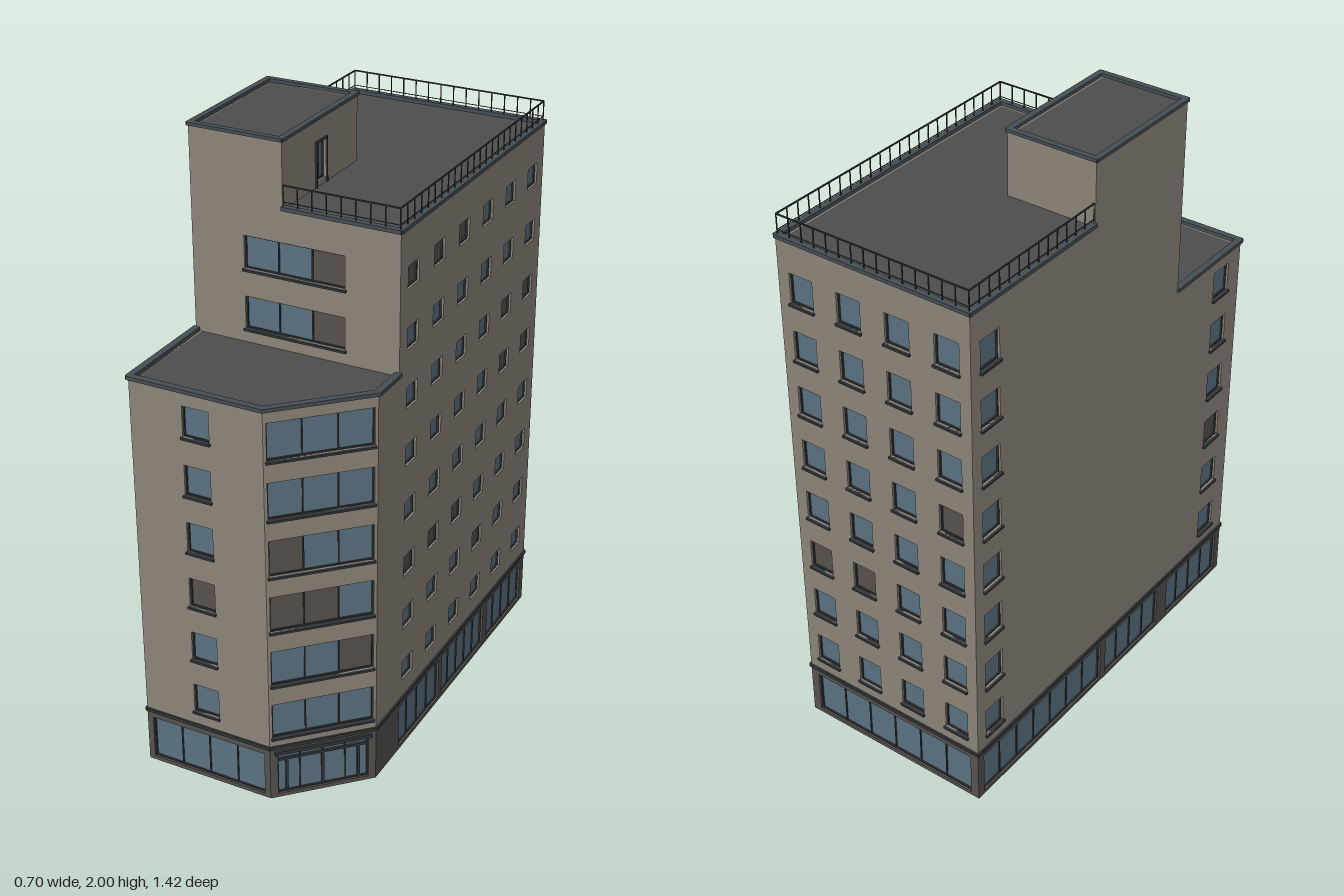
import * as THREE from 'three';

const mat = (name, color, side = THREE.FrontSide) => {
  const m = new THREE.MeshStandardMaterial({ color, side });
  m.name = name;
  return m;
};
const M = {
  wall: mat('beige render', 0x8c8479),
  base: mat('dark stone', 0x55524f),
  roof: mat('roof felt', 0x4d4d4d),
  frame: mat('dark frame', 0x33363a),
  glass: mat('blue glass', 0x5a7180, THREE.DoubleSide),
  blind: mat('closed blind', 0x57514b, THREE.DoubleSide),
  coping: mat('metal coping', 0x454e54),
};
const T = 0.02; // wall thickness
const ROW = i => 0.292 + i * 0.1918; // window centre height of floor i

function box(parent, name, material, x0, x1, y0, y1, z0, z1) {
  const m = new THREE.Mesh(new THREE.BoxGeometry(x1 - x0, y1 - y0, z1 - z0), material);
  m.position.set((x0 + x1) / 2, (y0 + y1) / 2, (z0 + z1) / 2);
  m.name = name;
  parent.add(m);
  return m;
}

function rect(Type, x0, x1, y0, y1) {
  const s = new Type();
  s.moveTo(x0, y0).lineTo(x1, y0).lineTo(x1, y1).lineTo(x0, y1).closePath();
  return s;
}

// Group whose local x runs from a to b and whose local z points outwards
function edge(parent, name, a, b) {
  const g = new THREE.Group();
  g.name = name;
  g.position.set(a[0], 0, a[1]);
  g.rotation.y = Math.atan2(a[1] - b[1], b[0] - a[0]);
  g.userData.length = Math.hypot(b[0] - a[0], b[1] - a[1]);
  parent.add(g);
  return g;
}

// Window: u = centre along the wall, y = centre height, dark = indices of panes with blinds
function addWindow(g, { u, y, w, h, panes = 1, dark = [], sill = false, transom = 0 }) {
  const x0 = u - w / 2, x1 = u + w / 2, y0 = y - h / 2, y1 = y + h / 2, f = 0.004;
  const ring = rect(THREE.Shape, x0, x1, y0, y1);
  ring.holes.push(rect(THREE.Path, x0 + f, x1 - f, y0 + f, y1 - f));
  const frame = new THREE.Mesh(new THREE.ExtrudeGeometry(ring, { depth: 0.01, bevelEnabled: false }), M.frame);
  frame.position.z = -0.017;
  frame.name = 'windowFrame';
  g.add(frame);
  const step = w / panes;
  for (let i = 0; i < panes; i++) {
    const pane = new THREE.Mesh(new THREE.PlaneGeometry(step, h), dark.includes(i) ? M.blind : M.glass);
    pane.position.set(x0 + (i + 0.5) * step, y, -0.012);
    pane.name = 'pane';
    g.add(pane);
    if (i) box(g, 'mullion', M.frame, x0 + i * step - 0.002, x0 + i * step + 0.002, y0, y1, -0.016, -0.008);
  }
  if (transom) box(g, 'transom', M.frame, x0, x1, transom - 0.004, transom + 0.004, -0.017, -0.005);
  if (sill) box(g, 'sill', M.frame, x0 - 0.004, x1 + 0.004, y0 - 0.007, y0, -0.012, 0.008);
}

// Wall panel with window openings
function wall(parent, name, a, b, y0, y1, material, windows = []) {
  const g = edge(parent, name, a, b);
  const s = rect(THREE.Shape, 0, g.userData.length, y0, y1);
  for (const { u, y, w, h } of windows) s.holes.push(rect(THREE.Path, u - w / 2, u + w / 2, y - h / 2, y + h / 2));
  const m = new THREE.Mesh(new THREE.ExtrudeGeometry(s, { depth: T, bevelEnabled: false }), material);
  m.position.z = -T;
  m.name = 'wallPanel';
  g.add(m);
  windows.forEach(o => addWindow(g, o));
  return g;
}

// Flat roof from [x, z] corners
function deck(parent, name, pts, y) {
  const s = new THREE.Shape(pts.map(([x, z]) => new THREE.Vector2(x, -z)));
  const geo = new THREE.ExtrudeGeometry(s, { depth: 0.015, bevelEnabled: false });
  geo.rotateX(-Math.PI / 2);
  const m = new THREE.Mesh(geo, M.roof);
  m.position.y = y - 0.015;
  m.name = name;
  parent.add(m);
}

// Moulding that follows a path of corners
function band(parent, name, pts, y0, y1, out, inn, material) {
  for (let i = 0; i < pts.length - 1; i++) {
    const g = edge(parent, name, pts[i], pts[i + 1]);
    box(g, name, material, -out * 0.4, g.userData.length + out * 0.4, y0, y1, -inn, out);
  }
}

// Column of identical windows, one per floor
const column = (u, n, w, h, sill, dark = []) => Array.from({ length: n }, (_, i) =>
  ({ u, y: ROW(i), w, h, sill, dark: dark.includes(i) ? [0] : [] }));
const shop = (u0, u1, panes) => ({ u: (u0 + u1) / 2, y: 0.088, w: u1 - u0, h: 0.15, panes });

export function createModel() {
  const model = new THREE.Group();
  model.name = 'building';
  const X = 0.34, Z = 0.7, S = 0.33, TX = -0.035, TZ = -0.13;
  const B = 0.19, LOW = 1.345, HIGH = 1.785, TOP = 1.99;
  const FL = [-X, Z], CF = [0.1, Z], CR = [X, 0.46], SR = [X, S], BR = [X, -Z], BL = [-X, -Z], SL = [-X, S];

  // Ground floor with shop windows and corner entrance
  const ground = new THREE.Group();
  ground.name = 'groundFloor';
  model.add(ground);
  wall(ground, 'frontShop', FL, CF, 0, B, M.base, [shop(0.02, 0.42, 4)]);
  const door = wall(ground, 'cornerEntrance', CF, CR, 0, B, M.base, [{ ...shop(0.025, 0.315, 4), transom: 0.137 }]);
  box(door, 'entranceCanopy', M.frame, 0.015, 0.325, 0.163, 0.175, -0.01, 0.008);
  for (const u of [0.055, 0.17, 0.285]) box(door, 'doorPost', M.frame, u - 0.004, u + 0.004, 0.012, 0.137, -0.017, -0.005);
  wall(ground, 'leftShops', CR, BR, 0, B, M.base,
    [shop(0.16, 0.455, 4), shop(0.48, 0.81, 5), shop(0.845, 1.13, 4)]);
  wall(ground, 'backShop', BR, BL, 0, B, M.base, [shop(0.03, 0.65, 6)]);
  wall(ground, 'rightShops', BL, FL, 0, B, M.base,
    [shop(0.03, 0.66, 7), shop(0.69, 1.0, 4), shop(1.06, 1.37, 4)]);
  band(ground, 'groundCornice', [FL, CF, CR, BR, BL, FL], 0.185, 0.196, 0.006, 0.015, M.frame);

  // Lower front wing
  const wing = new THREE.Group();
  wing.name = 'frontWing';
  model.add(wing);
  wall(wing, 'wingFront', FL, CF, B, LOW, M.wall, column(0.22, 6, 0.088, 0.1, true, [2]));
  const bayDark = { 1: [2], 2: [0, 1], 3: [0] };
  wall(wing, 'wingCorner', CF, CR, B, LOW, M.wall, Array.from({ length: 6 }, (_, i) =>
    ({ u: 0.17, y: ROW(i) - 0.004, w: 0.32, h: 0.122, panes: 3, dark: bayDark[i] ?? [], sill: true })));
  wall(wing, 'wingLeft', CR, SR, B, LOW, M.wall);
  wall(wing, 'wingRight', SL, FL, B, LOW, M.wall, column(0.26, 6, 0.085, 0.1, true, [2]));
  deck(wing, 'wingRoof', [[-X + 0.01, Z - 0.01], [0.095, Z - 0.01], [X - 0.01, 0.455], [X - 0.01, S - 0.01], [-X + 0.01, S - 0.01]], LOW);
  band(wing, 'wingCoping', [SL, FL, CF, CR, SR], LOW, LOW + 0.012, 0.008, 0.014, M.coping);

  // Main block
  const main = new THREE.Group();
  main.name = 'mainBlock';
  model.add(main);
  wall(main, 'upperFront', SL, SR, LOW - 0.02, HIGH, M.wall, [6, 7].map(i =>
    ({ u: X, y: ROW(i) - 0.002, w: 0.33, h: 0.104, panes: 3, dark: [2], sill: true })));
  const leftDark = [[2, 7], [2, 7], [2, 7], [1], [4, 5], [4, 5]];
  wall(main, 'mainLeft', SR, BR, B, HIGH, M.wall, leftDark.flatMap((d, c) =>
    column(0.085 + c * 0.172, 8, 0.072, 0.07, false, d)));
  const backDark = [[2], [2], [], [4]];
  wall(main, 'mainBack', BR, BL, B, HIGH, M.wall, backDark.flatMap((d, c) =>
    column(0.083 + c * 0.172, 8, 0.085, 0.1, true, d)));
  wall(main, 'mainRight', BL, SL, B, HIGH, M.wall, column(0.085, 8, 0.085, 0.1, true));
  deck(main, 'mainRoof', [[-X + 0.01, S - 0.01], [X - 0.01, S - 0.01], [X - 0.01, -Z + 0.01], [-X + 0.01, -Z + 0.01]], HIGH);
  const roofPath = [[TX, S], SR, BR, BL, [-X, TZ]];
  band(main, 'mainCoping', roofPath, HIGH, HIGH + 0.012, 0.006, 0.014, M.coping);

  // Roof railing
  const d = 0.005;
  const railPath = [[TX, S - d], [X - d, S - d], [X - d, -Z + d], [-X + d, -Z + d], [-X + d, TZ]];
  for (let i = 0; i < railPath.length - 1; i++) {
    const g = edge(model, 'railing', railPath[i], railPath[i + 1]);
    const L = g.userData.length, n = Math.round(L / 0.045);
    box(g, 'topRail', M.frame, 0, L, 1.857, 1.861, -0.002, 0.002);
    box(g, 'lowRail', M.frame, 0, L, 1.808, 1.81, -0.001, 0.001);
    for (let k = 0; k <= n; k++) {
      const u = k * L / n;
      box(g, 'railPost', M.frame, u - 0.0015, u + 0.0015, HIGH, 1.858, -0.0015, 0.0015);
    }
  }

  // Stair tower on the roof
  const tower = new THREE.Group();
  tower.name = 'stairTower';
  model.add(tower);
  const tp = [SL, [TX, S], [TX, TZ], [-X, TZ], SL];
  ['towerFront', 'towerLeft', 'towerBack', 'towerRight'].forEach((name, i) => {
    const g = wall(tower, name, tp[i], tp[i + 1], HIGH, TOP, M.wall,
      i === 1 ? [{ u: 0.23, y: 1.86, w: 0.06, h: 0.12, panes: 2 }] : []);
    if (i === 1) {
      box(g, 'doorHead', M.frame, 0.196, 0.264, 1.92, 1.926, -0.01, 0.006);
      for (const u of [0.196, 0.26]) box(g, 'doorJamb', M.frame, u, u + 0.004, HIGH, 1.92, -0.01, 0.006);
    }
  });
  deck(tower, 'towerRoof', [[-X + 0.01, S - 0.01], [TX - 0.01, S - 0.01], [TX - 0.01, TZ + 0.01], [-X + 0.01, TZ + 0.01]], TOP);
  band(tower, 'towerCoping', tp, TOP, 2, 0.006, 0.014, M.coping);
  return model;
}
